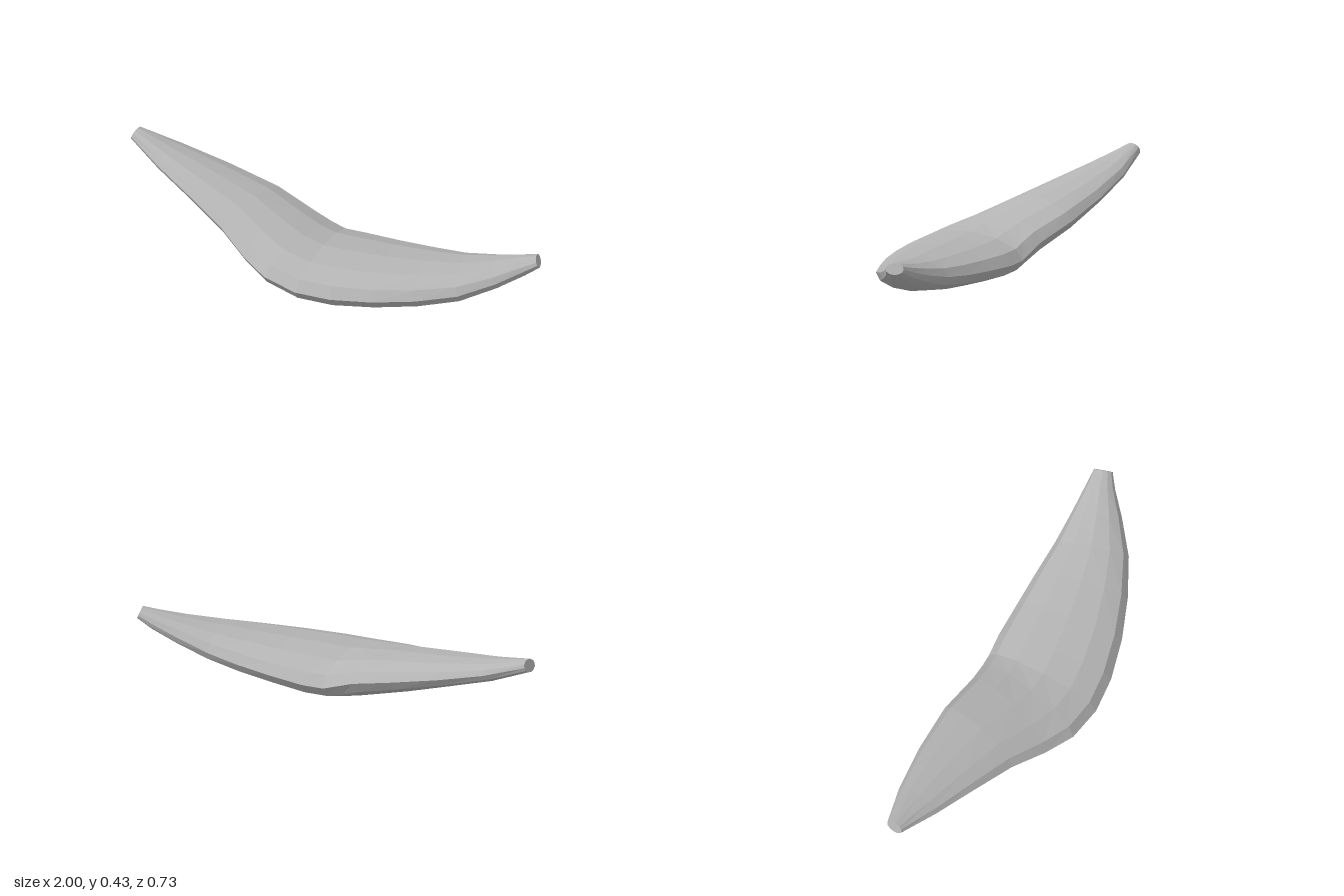
import * as THREE from 'three';

// Stations along the spine: centre x, y, z, half width, half height
const STATIONS = [
  [-0.985, 0.405, -0.325, 0.04, 0.03],
  [-0.81, 0.343, -0.27, 0.104, 0.047],
  [-0.605, 0.283, -0.198, 0.16, 0.062],
  [-0.395, 0.22, -0.115, 0.208, 0.082],
  [-0.23, 0.16, -0.02, 0.243, 0.094],
  [-0.125, 0.126, 0.036, 0.268, 0.097],
  [-0.015, 0.104, 0.07, 0.277, 0.1],
  [0.12, 0.103, 0.085, 0.276, 0.1],
  [0.3, 0.113, 0.098, 0.252, 0.092],
  [0.48, 0.128, 0.1, 0.216, 0.085],
  [0.65, 0.15, 0.093, 0.17, 0.075],
  [0.805, 0.19, 0.068, 0.113, 0.058],
  [0.92, 0.229, 0.047, 0.067, 0.042],
  [0.99, 0.257, 0.039, 0.043, 0.027],
];
const SIDES = 12;

// Elliptical rings set square to the spine, kept level from side to side
function makeRings() {
  const centres = STATIONS.map(([x, y, z]) => new THREE.Vector3(x, y, z));
  const last = centres.length - 1;
  const worldUp = new THREE.Vector3(0, 1, 0);
  return STATIONS.map(([, , , width, height], i) => {
    const along = centres[Math.min(i + 1, last)].clone().sub(centres[Math.max(i - 1, 0)]).normalize();
    const side = along.clone().cross(worldUp).normalize();
    const up = side.clone().cross(along);
    return Array.from({ length: SIDES }, (_, k) => {
      const a = (k / SIDES) * Math.PI * 2;
      return centres[i].clone()
        .addScaledVector(side, Math.cos(a) * width)
        .addScaledVector(up, Math.sin(a) * height);
    });
  });
}

function meshFrom(name, positions, material) {
  const geometry = new THREE.BufferGeometry();
  geometry.setAttribute('position', new THREE.Float32BufferAttribute(positions, 3));
  geometry.computeVertexNormals();
  const mesh = new THREE.Mesh(geometry, material);
  mesh.name = name;
  return mesh;
}

export function createModel() {
  const group = new THREE.Group();
  group.name = 'curvedPod';
  const grey = new THREE.MeshStandardMaterial({ color: 0xb4b4b4, flatShading: true });
  grey.name = 'grey';

  const rings = makeRings();
  const add = (list, ...points) => points.forEach((p) => list.push(p.x, p.y, p.z));

  // Faceted skin between neighbouring rings
  const skin = [];
  for (let i = 0; i < rings.length - 1; i++) {
    for (let k = 0; k < SIDES; k++) {
      const n = (k + 1) % SIDES;
      const a = rings[i][k], b = rings[i][n], c = rings[i + 1][n], d = rings[i + 1][k];
      add(skin, a, d, c, a, c, b);
    }
  }
  group.add(meshFrom('body', skin, grey));

  // Flat cut ends
  const capPoints = (ring, flip) => {
    const out = [];
    for (let k = 1; k < SIDES - 1; k++) {
      if (flip) add(out, ring[0], ring[k], ring[k + 1]);
      else add(out, ring[0], ring[k + 1], ring[k]);
    }
    return out;
  };
  group.add(meshFrom('rightTip', capPoints(rings[0], true), grey));
  group.add(meshFrom('leftTip', capPoints(rings[rings.length - 1], false), grey));
  return group;
}
